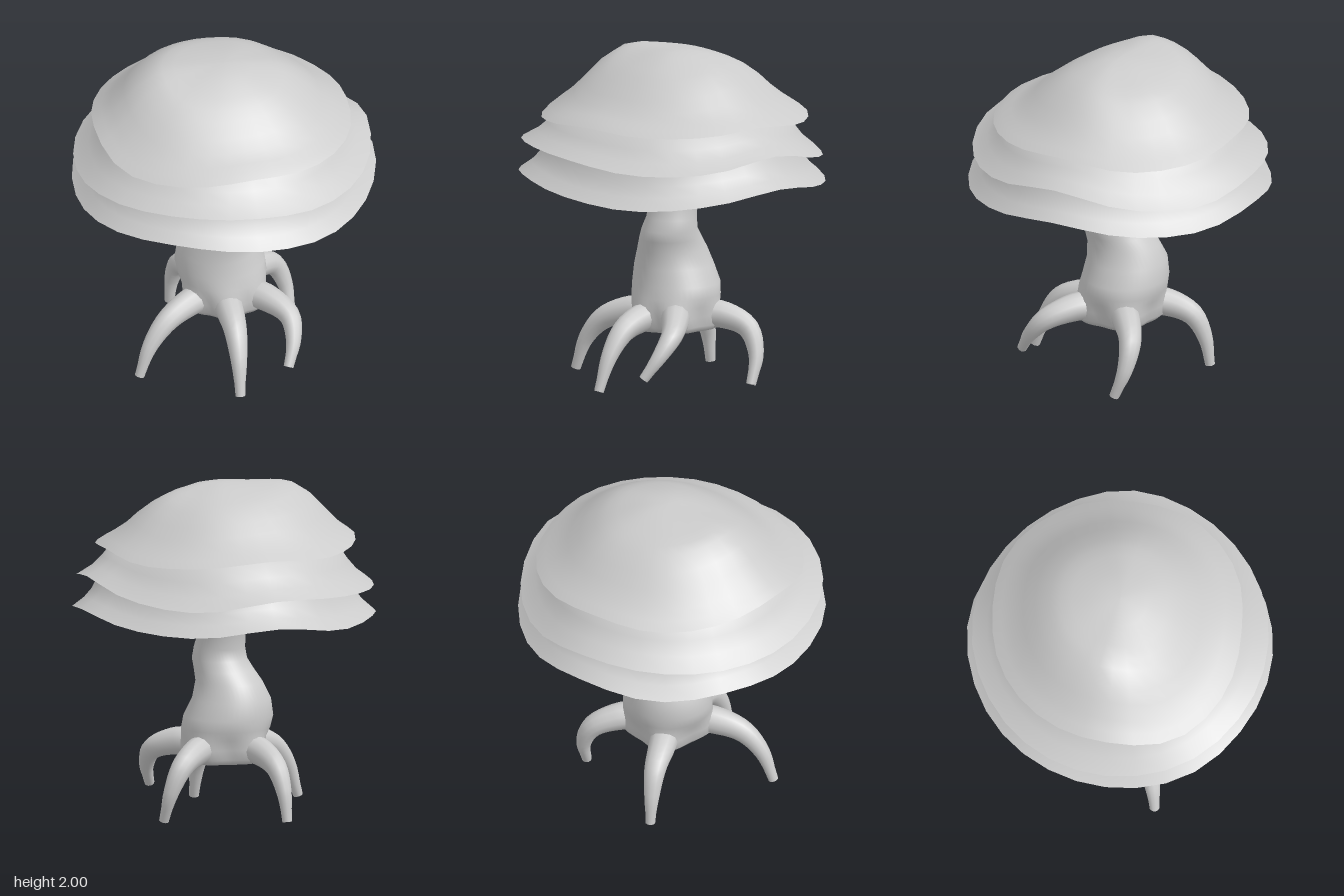
import * as THREE from 'three';

const mat = new THREE.MeshStandardMaterial({ color: 0xcccccc, side: THREE.DoubleSide });

// Smooth periodic lookup in a table of evenly spaced values round the circle
function around(table, angle) {
  const n = table.length, t = (angle / (2 * Math.PI)) * n;
  const k = Math.floor(t), f = t - k;
  const at = (i) => table[(i + n) % n];
  const [a, b, c, d] = [at(k - 1), at(k), at(k + 1), at(k + 2)];
  return b + 0.5 * f * (c - a + f * (2 * a - 5 * b + 4 * c - d + f * (3 * (b - c) + d - a)));
}

// Smooth surface from closed rings listed top to bottom
function loft(rows, seg, point) {
  const pos = [], idx = [];
  for (let i = 0; i < rows; i++)
    for (let j = 0; j < seg; j++) pos.push(...point(i, (j / seg) * 2 * Math.PI));
  for (let i = 0; i < rows - 1; i++)
    for (let j = 0; j < seg; j++) {
      const a = i * seg + j, b = i * seg + ((j + 1) % seg);
      idx.push(a, b, a + seg, b, b + seg, a + seg);
    }
  const g = new THREE.BufferGeometry();
  g.setAttribute('position', new THREE.Float32BufferAttribute(pos, 3));
  g.setIndex(idx);
  g.computeVertexNormals();
  return g;
}

// Tapered limb along a curve, closed with a blunt tip
function limb(points, radii, seg = 18, sides = 12) {
  const curve = new THREE.CatmullRomCurve3(points.map((p) => new THREE.Vector3(...p)));
  const g = new THREE.TubeGeometry(curve, seg, 1, sides);
  const p = g.attributes.position, v = new THREE.Vector3();
  for (let i = 0; i <= seg; i++) {
    const c = curve.getPointAt(i / seg);
    const end = i >= seg - 1 ? curve.getPointAt(1) : c;
    const t = (i / seg) * (radii.length - 1), k = Math.min(Math.floor(t), radii.length - 2);
    const r = i === seg ? 0 : THREE.MathUtils.lerp(radii[k], radii[k + 1], t - k);
    for (let j = 0; j <= sides; j++) {
      const n = i * (sides + 1) + j;
      v.fromBufferAttribute(p, n).sub(c).multiplyScalar(r).add(end);
      p.setXYZ(n, v.x, v.y, v.z);
    }
  }
  return g;
}

export function createModel() {
  const model = new THREE.Group();
  const add = (name, geometry, parent = model) => {
    const m = new THREE.Mesh(geometry, mat);
    m.name = name;
    parent.add(m);
  };

  // Five curved roots, one of them lifted off the ground
  const roots = new THREE.Group();
  roots.name = 'roots';
  model.add(roots);
  const rootPaths = [
    [[-0.1, 0.42, 0.06], [-0.25, 0.41, 0.13], [-0.4, 0.35, 0.2], [-0.51, 0.22, 0.24], [-0.58, 0.03, 0.26]],
    [[-0.02, 0.42, 0.1], [-0.03, 0.41, 0.24], [-0.03, 0.355, 0.39], [-0.035, 0.22, 0.5], [-0.045, 0.01, 0.58]],
    [[0.1, 0.42, 0.1], [0.21, 0.42, 0.2], [0.315, 0.36, 0.33], [0.315, 0.25, 0.43], [0.265, 0.12, 0.51]],
    [[0.1, 0.42, -0.06], [0.24, 0.41, -0.17], [0.36, 0.34, -0.25], [0.43, 0.19, -0.25], [0.45, 0.02, -0.19]],
    [[-0.06, 0.42, -0.1], [-0.13, 0.41, -0.24], [-0.18, 0.34, -0.39], [-0.205, 0.2, -0.46], [-0.215, 0.02, -0.49]],
  ];
  for (const path of rootPaths) add('root', limb(path, [0.09, 0.083, 0.065, 0.045, 0.025]), roots);

  // Trunk sections: y, min x, max x, min z, max z, swelling towards the roots
  const sections = [
    [1.28, -0.08, 0.08, -0.08, 0.08, 0],
    [1.24, -0.14, 0.14, -0.14, 0.14, 0],
    [1.19, -0.16, 0.16, -0.15, 0.16, 0],
    [1.1, -0.14, 0.14, -0.13, 0.155, 0],
    [1.0, -0.145, 0.16, -0.11, 0.185, 0],
    [0.93, -0.16, 0.165, -0.12, 0.22, 0],
    [0.87, -0.19, 0.16, -0.17, 0.22, 0],
    [0.8, -0.23, 0.16, -0.225, 0.21, 0],
    [0.7, -0.275, 0.19, -0.27, 0.21, 0],
    [0.6, -0.29, 0.245, -0.285, 0.225, 0],
    [0.53, -0.275, 0.25, -0.275, 0.24, 0.02],
    [0.48, -0.25, 0.235, -0.25, 0.235, 0.1],
    [0.42, -0.23, 0.22, -0.23, 0.22, 0.24],
    [0.36, -0.22, 0.21, -0.22, 0.21, 0.26],
    [0.33, -0.2, 0.2, -0.2, 0.2, 0.2],
    [0.325, 0, 0, 0, 0, 0],
  ];
  const rootAngles = rootPaths.map((p) => Math.atan2(p[1][2], p[1][0]));
  add('trunk', loft(sections.length, 48, (i, a) => {
    const [y, x0, x1, z0, z1, swell] = sections[i];
    const near = Math.max(...rootAngles.map((t) => Math.cos(a - t)));
    const s = 1 + swell * near ** 8;
    return [(x0 + x1) / 2 + (s * (x1 - x0) / 2) * Math.cos(a), y,
      (z0 + z1) / 2 + (s * (z1 - z0) / 2) * Math.sin(a)];
  }));

  // Branches spreading under the cap: tip x, tip z
  const branches = new THREE.Group();
  branches.name = 'branches';
  model.add(branches);
  for (const [x, z] of [[0.38, 0.2], [0.16, -0.28], [-0.3, -0.31], [-0.04, 0.52], [-0.47, -0.04]]) {
    const path = [[0, 1.16, 0], [x * 0.35, 1.205, z * 0.35], [x * 0.7, 1.25, z * 0.7], [x, 1.285, z]];
    add('branch', limb(path, [0.08, 0.06, 0.035, 0.015], 12, 10), branches);
  }
  add('branchFork', limb([[-0.17, 1.23, -0.18], [-0.17, 1.25, -0.27], [-0.12, 1.285, -0.37]],
    [0.03, 0.025, 0.01], 8, 8), branches);

  // Cap layers: rim height and radius every 30 degrees from +x towards +z,
  // with a profile of [share of the rim radius, share of the rise from rim to top]
  const flat = Array(12).fill(0);
  const layers = [
    {
      name: 'lowerCap', top: 1.5, bulge: flat,
      rimY: [1.29, 1.23, 1.2, 1.24, 1.28, 1.25, 1.2, 1.225, 1.205, 1.26, 1.21, 1.23],
      rimR: [0.9, 0.89, 0.895, 0.905, 0.915, 0.935, 0.905, 0.905, 0.9, 0.91, 0.895, 0.885],
      profile: [[0.79, 1], [0.84, 0.64], [0.87, 0.43], [0.92, 0.22], [1, 0]],
    },
    {
      name: 'middleCap', top: 1.66, bulge: flat,
      rimY: [1.485, 1.42, 1.41, 1.46, 1.475, 1.44, 1.38, 1.38, 1.4, 1.42, 1.36, 1.4],
      rimR: [0.865, 0.87, 0.87, 0.88, 0.9, 0.92, 0.9, 0.89, 0.88, 0.88, 0.875, 0.87],
      profile: [[0.68, 1], [0.78, 0.74], [0.83, 0.5], [0.9, 0.24], [1, 0]],
    },
    {
      name: 'upperCap', top: 2,
      bulge: [0, -0.03, -0.05, -0.06, -0.05, 0, 0.06, 0.05, 0.03, 0, -0.01, -0.02],
      rimY: [1.64, 1.62, 1.615, 1.63, 1.6, 1.59, 1.67, 1.64, 1.62, 1.64, 1.61, 1.6],
      rimR: [0.74, 0.76, 0.75, 0.72, 0.765, 0.81, 0.795, 0.78, 0.77, 0.76, 0.79, 0.775],
      profile: [[0, 1], [0.1, 0.995], [0.22, 0.96], [0.38, 0.88], [0.47, 0.81], [0.55, 0.73],
        [0.67, 0.55], [0.76, 0.37], [0.86, 0.2], [0.93, 0.1], [1, 0]],
    },
  ];
  for (const { name, top, bulge, rimY, rimR, profile } of layers)
    add(name, loft(profile.length, 32, (i, a) => {
      const [f, rise] = profile[i], r = f * around(rimR, a);
      const y = THREE.MathUtils.lerp(around(rimY, a), top, rise)
        + around(bulge, a) * Math.sin(Math.PI * f ** 1.4) ** 2;
      return [r * Math.cos(a), y, r * Math.sin(a)];
    }));

  // Flat ceiling closing the cap from below
  const ceiling = new THREE.CircleGeometry(0.79, 32);
  ceiling.rotateX(Math.PI / 2);
  ceiling.translate(0, 1.29, 0);
  add('capUnderside', ceiling);

  return model;
}
